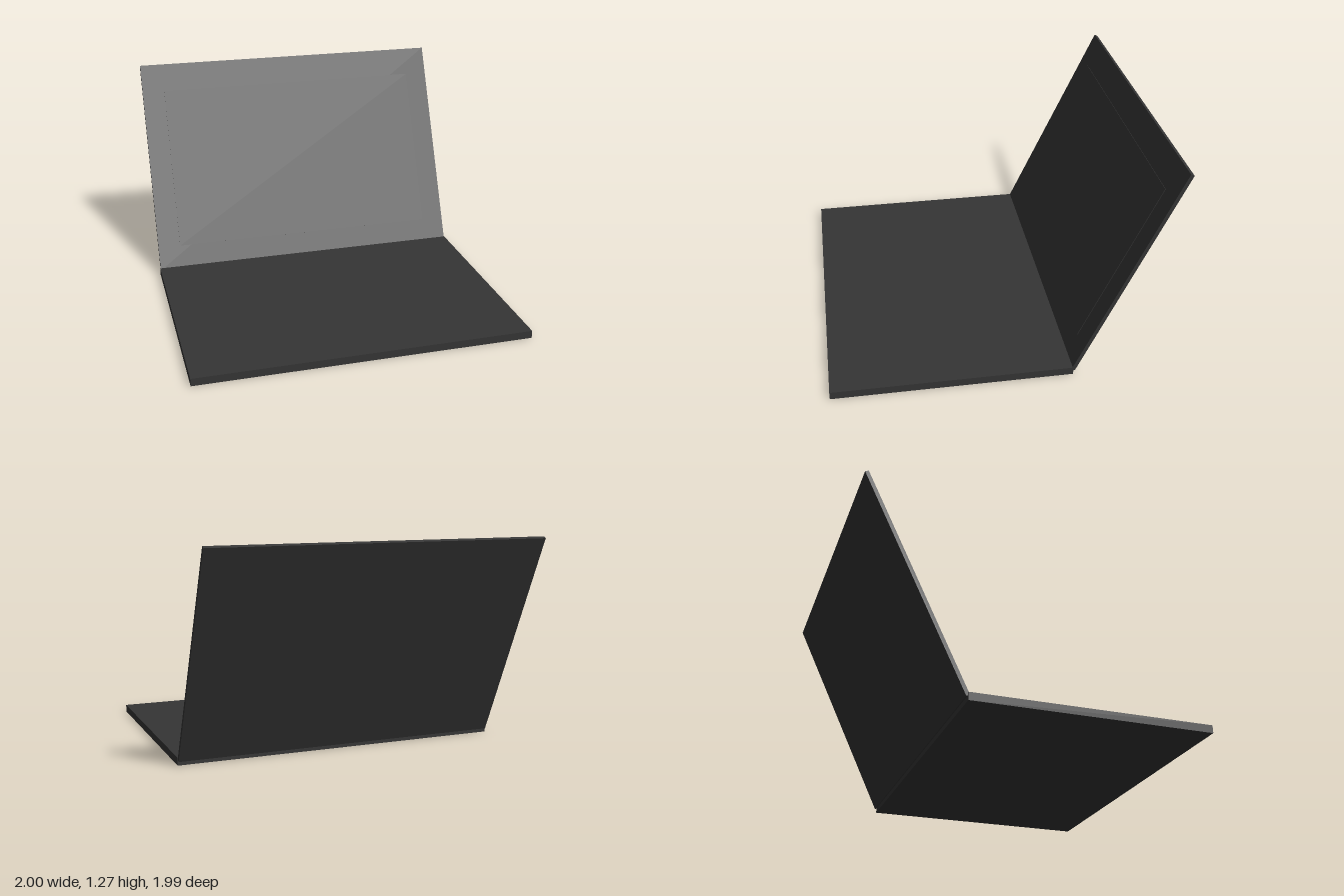
import * as THREE from 'three';

const charcoal = new THREE.MeshStandardMaterial({ color: 0x353535 });
charcoal.name = 'charcoal';

function slab(name, w, h, d, x, y, z) {
  const mesh = new THREE.Mesh(new THREE.BoxGeometry(w, h, d), charcoal);
  mesh.name = name;
  mesh.position.set(x, y, z);
  return mesh;
}

export function createModel() {
  const model = new THREE.Group();
  model.name = 'laptop';

  // Flat base
  model.add(slab('base', 2, 0.046, 1.4, 0, 0.023, 0.295));

  // Lid, pivoting at the back edge of the base and leaning back
  const length = 1.37, thickness = 0.022;
  const lid = new THREE.Group();
  lid.name = 'lid';
  lid.position.set(0, 0.028, -0.405);
  lid.rotation.x = -THREE.MathUtils.degToRad(25.1);
  lid.add(slab('lidPanel', 1.994, length, thickness, 0, length / 2, 0));

  // Screen plate standing slightly proud of the lid
  lid.add(slab('screen', 1.71, 1.04, 0.004, 0, 0.67, thickness / 2 + 0.001));
  model.add(lid);

  return model;
}
